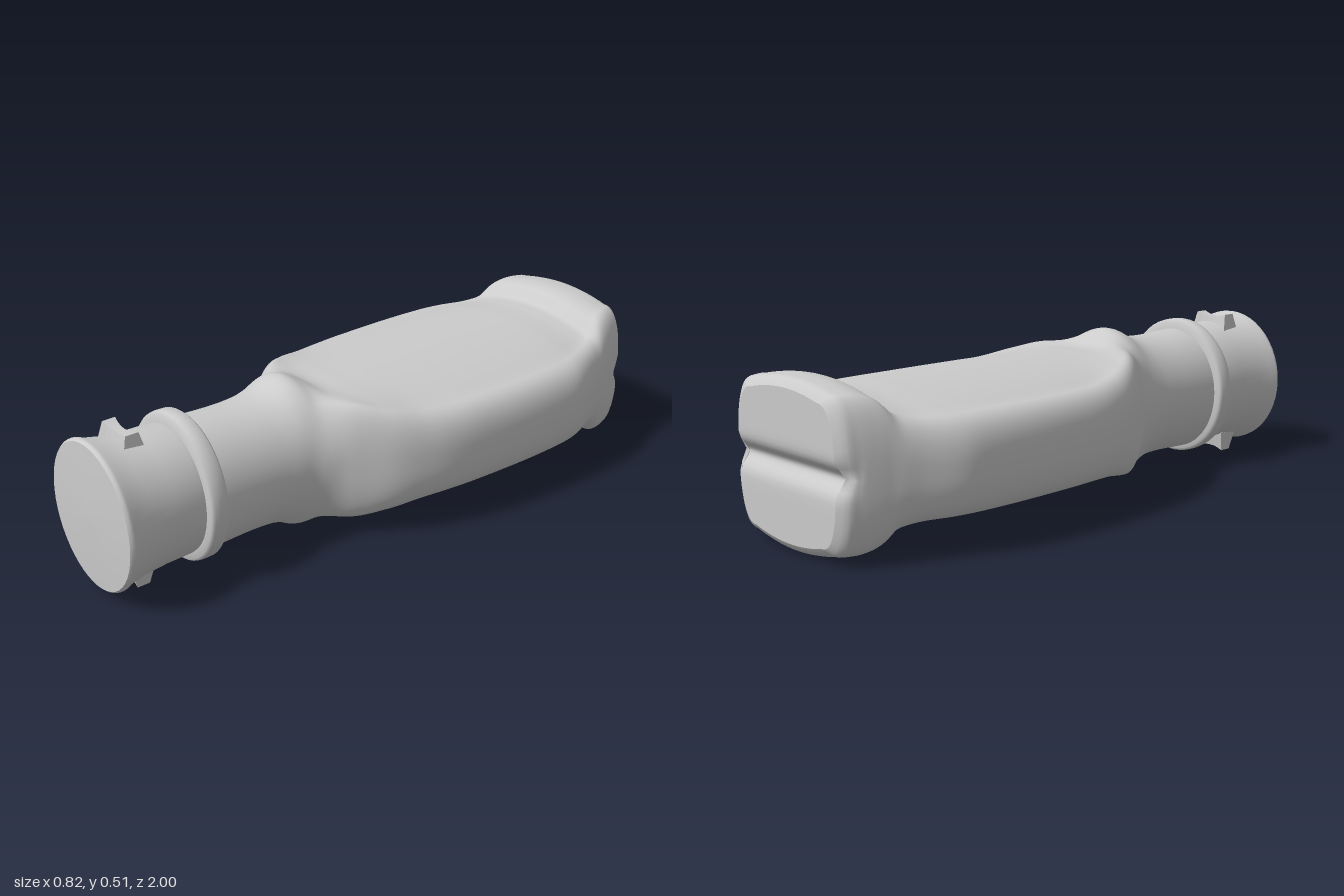
import * as THREE from 'three';

const MID = 0.255; // height of the bottle's long axis
const material = new THREE.MeshStandardMaterial({ color: 0xcccccc, side: THREE.DoubleSide });

// Stations along z: [z, half width, half height at centre, panel edge x, panel edge height, roundness]
const stations = [
  [-1.0, 0.235, 0.225, 0.16, 0.205, 0],
  [-0.985, 0.262, 0.245, 0.18, 0.222, 0],
  [-0.95, 0.28, 0.253, 0.195, 0.229, 0],
  [-0.89, 0.303, 0.25, 0.21, 0.222, 0],
  [-0.86, 0.313, 0.238, 0.222, 0.205, 0],
  [-0.83, 0.325, 0.206, 0.235, 0.172, 0],
  [-0.79, 0.34, 0.199, 0.255, 0.157, 0],
  [-0.66, 0.393, 0.199, 0.295, 0.15, 0],
  [-0.58, 0.404, 0.199, 0.305, 0.15, 0],
  [-0.2, 0.4, 0.2, 0.305, 0.15, 0],
  [-0.08, 0.386, 0.2, 0.292, 0.152, 0],
  [0.0, 0.365, 0.2, 0.27, 0.16, 0],
  [0.1, 0.325, 0.2, 0.235, 0.18, 0],
  [0.2, 0.26, 0.206, 0.17, 0.203, 0.05],
  [0.25, 0.228, 0.233, 0.14, 0.213, 0.5],
  [0.29, 0.21, 0.252, 0.13, 0.2, 0.95],
  [0.32, 0.2, 0.25, 0.13, 0.18, 1],
  [0.37, 0.194, 0.225, 0.13, 0.16, 1],
  [0.42, 0.19, 0.212, 0.13, 0.15, 1],
  [0.68, 0.19, 0.213, 0.13, 0.15, 1],
];
const track = new THREE.CubicInterpolant(
  stations.map((s) => s[0]), stations.flatMap((s) => s.slice(1)), 5);

// One quarter of a section, from top centre to the side: domed panel, then rounded wall
const PANEL = 10, WALL = 16, Q = PANEL + WALL;
function quarter(z) {
  const [w, c, ex, e, k] = track.evaluate(z);
  const points = [];
  for (let i = 0; i <= Q; i++) {
    let x, y;
    if (i <= PANEL) {
      const u = i / PANEL;
      x = ex * u;
      y = e + (c - e) * (1 - u * u);
    } else {
      const t = ((i - PANEL) / WALL) * Math.PI / 2;
      x = ex + (w - ex) * Math.pow(Math.sin(t), 0.8);
      y = i === Q ? 0 : e * Math.pow(Math.cos(t), 0.8);
    }
    const a = (i / Q) * Math.PI / 2;
    points.push([x + (w * Math.sin(a) - x) * k, y + (c * Math.cos(a) - y) * k]);
  }
  return points;
}

// Full section, counter-clockwise from the top
function ring(z) {
  const q = quarter(z), out = [];
  for (let i = 0; i < Q; i++) out.push([-q[i][0], q[i][1]]);
  for (let i = Q; i > 0; i--) out.push([-q[i][0], -q[i][1]]);
  for (let i = 0; i < Q; i++) out.push([q[i][0], -q[i][1]]);
  for (let i = Q; i > 0; i--) out.push([q[i][0], q[i][1]]);
  return out;
}

// Horizontal groove pressed into the base
const groove = (y, z) => z + 0.035 * Math.exp(-((y / 0.032) ** 2)) * Math.max(0, 1 - (z + 1) / 0.06);

// Smooth surface from equal rows of points
function gridGeometry(rows, closed) {
  const n = rows[0].length, index = [];
  for (let r = 0; r < rows.length - 1; r++) {
    for (let i = 0; i < (closed ? n : n - 1); i++) {
      const a = r * n + i, b = r * n + (i + 1) % n;
      index.push(a, b, a + n, b, b + n, a + n);
    }
  }
  const g = new THREE.BufferGeometry();
  g.setAttribute('position', new THREE.Float32BufferAttribute(rows.flat(2), 3));
  g.setIndex(index);
  g.computeVertexNormals();
  return g;
}

// Raised lug: a waisted block, narrower on top
function lugGeometry() {
  const g = new THREE.BoxGeometry(0.15, 0.07, 0.08, 6, 1, 1);
  const p = g.attributes.position;
  for (let i = 0; i < p.count; i++) {
    const u = Math.abs(p.getX(i)) / 0.075, top = p.getY(i) > 0;
    p.setZ(i, p.getZ(i) * (0.65 + 0.35 * u * u) * (top ? 0.55 : 1));
    if (top) p.setXYZ(i, p.getX(i) * 0.85, p.getY(i) - 0.012 * (1 - u * u), p.getZ(i));
  }
  const flat = g.toNonIndexed();
  flat.computeVertexNormals();
  return flat;
}

export function createModel() {
  const group = new THREE.Group();
  const add = (name, geometry) => {
    const mesh = new THREE.Mesh(geometry, material);
    mesh.name = name;
    group.add(mesh);
    return mesh;
  };

  // Body, shoulder and neck in one loft
  const rows = [];
  const steps = 168;
  for (let s = 0; s <= steps; s++) {
    const z = -1 + (1.68 * s) / steps;
    rows.push(ring(z).map(([x, y]) => [x, y + MID, groove(y, z)]));
  }
  add('body', gridGeometry(rows, true));

  // Grooved base, closing the body
  const q = quarter(-1);
  const half = [...q.slice(1).reverse().map(([x, y]) => [-x, y]), ...q];
  const baseRows = [];
  for (let j = 0; j <= 24; j++) {
    const v = j / 12 - 1, f = 0.35 * v + 0.65 * v ** 3;
    baseRows.push(half.map(([x, y]) => [-x, y * f + MID, groove(y * f, -1)]));
  }
  add('base', gridGeometry(baseRows, false));

  // Turned parts share the neck's slightly oval section
  const turned = (name, profile) => {
    const g = new THREE.LatheGeometry(profile.map(([r, z]) => new THREE.Vector2(r, z)), 48);
    const mesh = add(name, g.rotateX(Math.PI / 2).scale(0.92, 1, 1));
    mesh.position.y = 0.262;
    return mesh;
  };
  turned('collar', [[0.2, 0.655], [0.23, 0.657], [0.239, 0.667], [0.24, 0.69],
    [0.238, 0.708], [0.23, 0.718], [0.2, 0.72]]);
  turned('mouth', [[0.2, 0.7], [0.209, 0.73], [0.211, 0.82], [0.218, 0.9], [0.23, 0.955],
    [0.239, 0.975], [0.238, 0.985], [0.232, 0.992]]);
  turned('mouthCap', [[0.232, 0.992], [0.12, 0.998], [0, 1]]);

  // Lugs above and below the mouth
  for (const side of [1, -1]) {
    const lug = add(side > 0 ? 'upperLug' : 'lowerLug', lugGeometry());
    lug.position.set(-0.015, MID + side * 0.217, 0.865);
    if (side < 0) lug.rotation.z = Math.PI;
  }
  return group;
}
